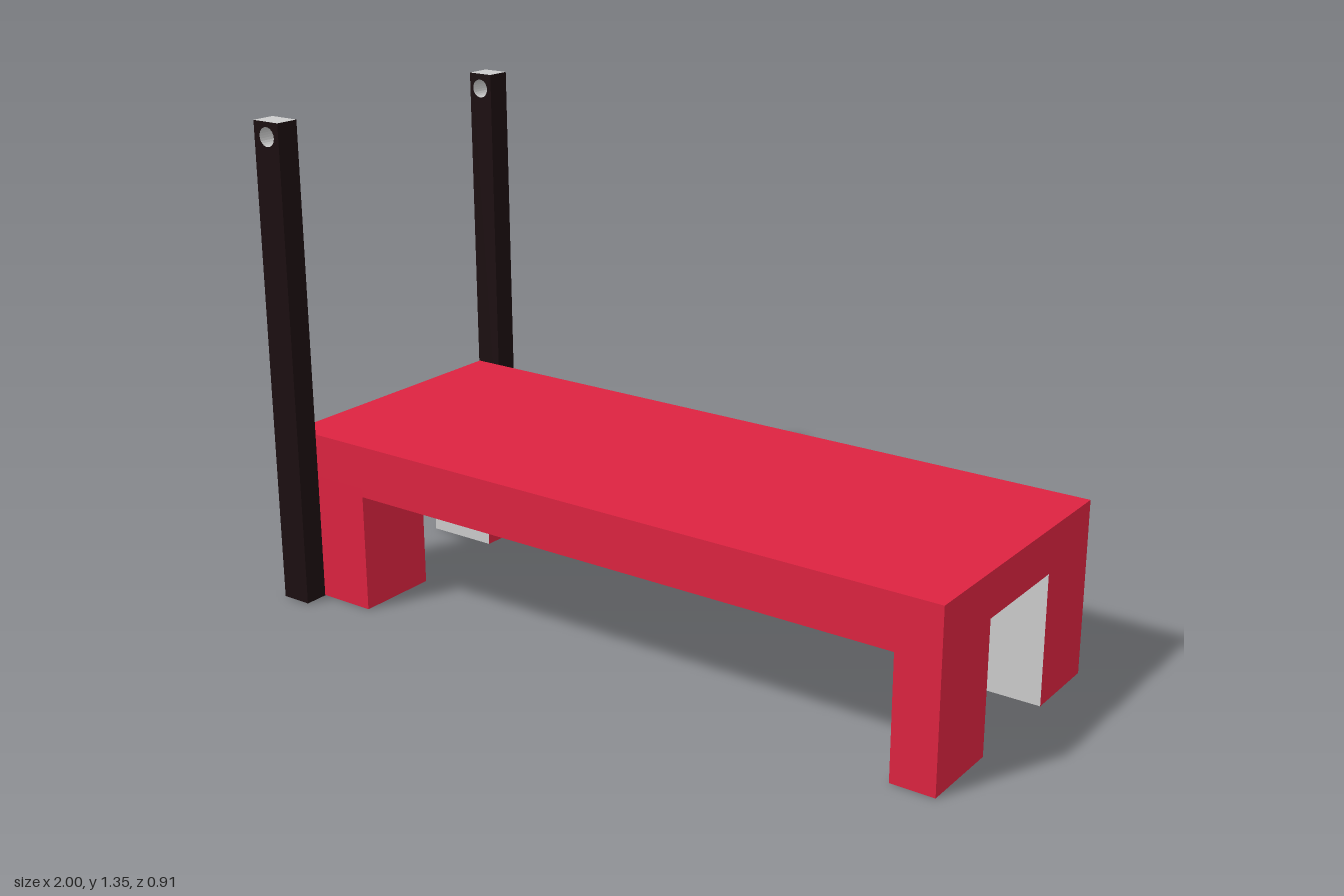
import * as THREE from 'three';

const red = new THREE.MeshStandardMaterial({ color: 0xdc2340 });
const black = new THREE.MeshStandardMaterial({ color: 0x1b0e10 });
const grey = new THREE.MeshStandardMaterial({ color: 0xcccccc });

// Box from its limits; materials ordered +x, -x, +y, -y, +z, -z
function box(name, [x0, x1], [y0, y1], [z0, z1], materials) {
  const mesh = new THREE.Mesh(new THREE.BoxGeometry(x1 - x0, y1 - y0, z1 - z0), materials);
  mesh.position.set((x0 + x1) / 2, (y0 + y1) / 2, (z0 + z1) / 2);
  mesh.name = name;
  return mesh;
}

// Square post with a round hole through z; ends and hole are grey
function post(name, [x0, x1], height, [z0, z1], holeY) {
  const shape = new THREE.Shape([
    new THREE.Vector2(x0, 0), new THREE.Vector2(x1, 0),
    new THREE.Vector2(x1, height), new THREE.Vector2(x0, height),
  ]);
  shape.holes.push(new THREE.Path().absarc(-0.955, holeY, 0.026, 0, Math.PI * 2, true));
  const geo = new THREE.ExtrudeGeometry(shape, { depth: z1 - z0, bevelEnabled: false, curveSegments: 12 });
  geo.translate(0, 0, z0);

  // Black on the four long sides, grey elsewhere
  const p = geo.attributes.position, n = geo.attributes.normal;
  geo.clearGroups();
  for (let i = 0; i < p.count; i += 3) {
    const onSide = [x0, x1].some((x) => [0, 1, 2].every((k) => Math.abs(p.getX(i + k) - x) < 1e-4));
    geo.addGroup(i, 3, onSide || Math.abs(n.getZ(i)) > 0.5 ? 0 : 1);
  }
  const mesh = new THREE.Mesh(geo, [black, grey]);
  mesh.name = name;
  return mesh;
}

export function createModel() {
  const model = new THREE.Group();
  model.name = 'bench';
  const left = -0.99, right = 1, half = 0.384, slabY = 0.355, railY = 0.33;

  // Top slab, grey beneath
  model.add(box('topSlab', [left, right], [slabY, 0.475], [-half, half], [red, red, red, grey, red, red]));

  // Front and back: two legs joined by a shallow rail
  const sides = [
    { name: 'front', z: [0.15, half], legEnd: -0.75, legStart: 0.88 },
    { name: 'back', z: [-half, -0.16], legEnd: -0.78, legStart: 0.85 },
  ];
  for (const { name, z, legEnd, legStart } of sides) {
    const faces = name === 'front' ? [red, grey] : [grey, red];
    const legMaterials = [red, red, red, grey, ...faces];
    model.add(
      box(name + 'RightLeg', [left, legEnd], [0, slabY], z, legMaterials),
      box(name + 'LeftLeg', [legStart, right], [0, slabY], z, legMaterials),
      box(name + 'Rail', [legEnd, legStart], [railY, slabY], z, [red, red, red, red, ...faces]),
    );
  }

  // Tall posts at one end
  model.add(
    post('frontPost', [-1, -0.913], 1.337, [0.386, 0.453], 1.297),
    post('backPost', [-0.992, -0.915], 1.35, [-0.453, -0.384], 1.307),
  );
  return model;
}
